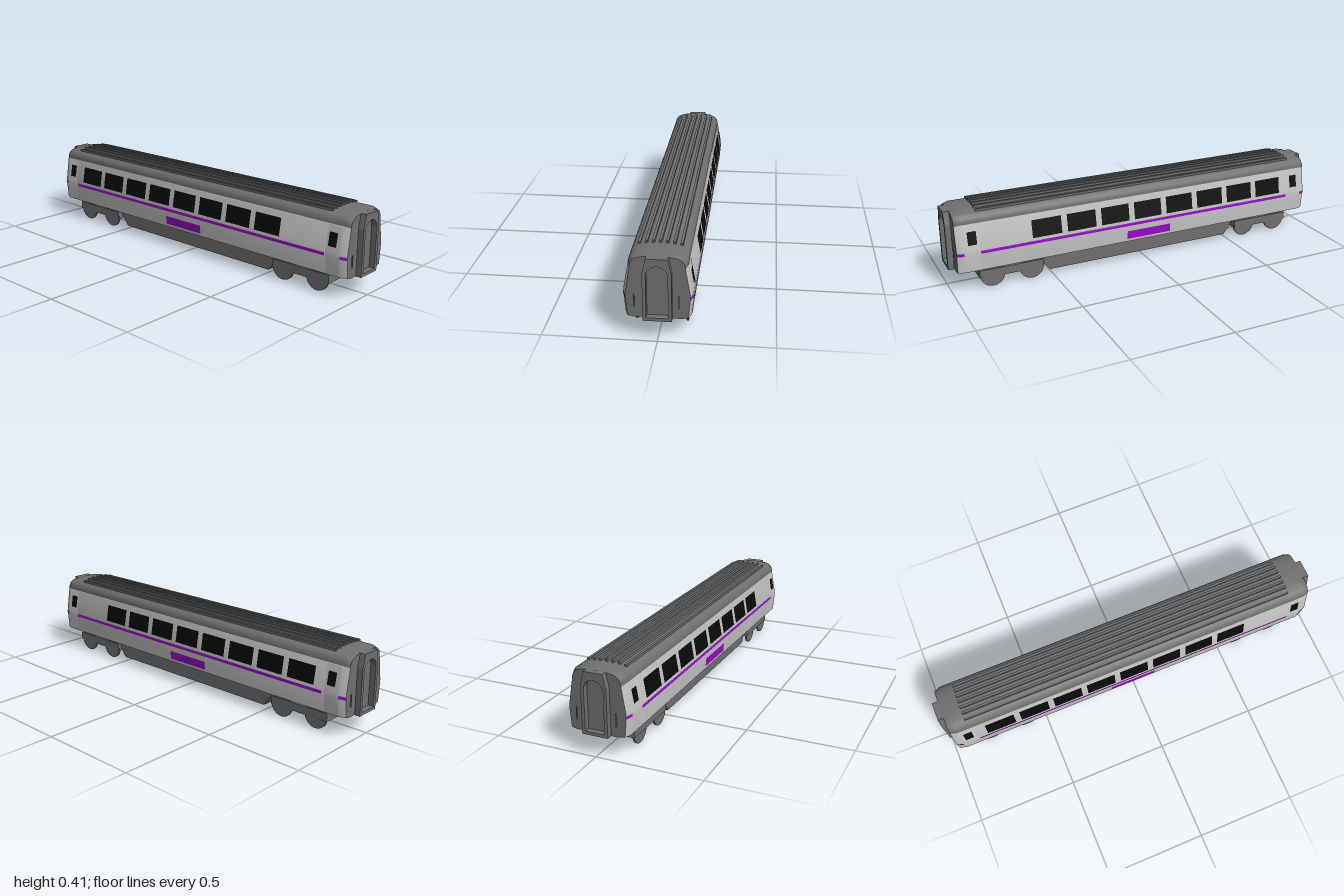
import * as THREE from 'three';
import { toCreasedNormals } from 'three/addons/utils/BufferGeometryUtils.js';

const material = (name, color) => Object.assign(new THREE.MeshStandardMaterial({ color }), { name });

// Half cross-section of the body: side wall, then roof up to the centre line
const SIDE = [[0.141, 0.105], [0.149, 0.192], [0.149, 0.216], [0.127, 0.34]];
const ROOF = [[0.127, 0.34], [0.126, 0.352], [0.121, 0.365], [0.113, 0.375], [0.102, 0.382],
  [0.086, 0.388], [0.05, 0.393], [0, 0.395]];
const END = 0.972, DOOR_EDGE = 0.94;
const mirror = (pts) => pts.map(([x, y]) => [-x, y]).reverse();

// Narrowing of the cross-section towards each end of the coach
function taper([x, y], z) {
  const t = Math.max(0, (Math.abs(z) - DOOR_EDGE) / (END - DOOR_EDGE));
  return [x * (1 - 0.085 * t), y - (y - 0.1) * 0.025 * t];
}

// Skin a cross-section along ascending z stations
function loft(profile, stations) {
  const pos = [];
  const at = (p, z) => [...taper(p, z), z];
  for (let s = 0; s < stations.length - 1; s++) {
    for (let i = 0; i < profile.length - 1; i++) {
      const a = at(profile[i], stations[s]), b = at(profile[i + 1], stations[s]);
      const c = at(profile[i + 1], stations[s + 1]), d = at(profile[i], stations[s + 1]);
      pos.push(...a, ...b, ...c, ...a, ...c, ...d);
    }
  }
  const g = new THREE.BufferGeometry();
  g.setAttribute('position', new THREE.Float32BufferAttribute(pos, 3));
  return toCreasedNormals(g, 0.5);
}

// Width of the side wall at a given height
function sideX(y) {
  for (let i = 0; i < SIDE.length - 1; i++) {
    const [x0, y0] = SIDE[i], [x1, y1] = SIDE[i + 1];
    if (y <= y1) return x0 + ((x1 - x0) * (y - y0)) / (y1 - y0);
  }
  return SIDE[SIDE.length - 1][0];
}

export function createModel() {
  const group = new THREE.Group();
  const dark = material('dark grey', 0x707070);
  const silver = material('light grey', 0xc8c8c8);
  const purple = material('purple', 0x9c0ccc);
  const black = material('window black', 0x0a0a0a);

  const add = (name, geometry, mat) => {
    const mesh = new THREE.Mesh(geometry, mat);
    mesh.name = name;
    group.add(mesh);
    return mesh;
  };
  const box = (name, w, h, d, x, y, z, mat = dark) =>
    add(name, new THREE.BoxGeometry(w, h, d), mat).position.set(x, y, z);

  // Thin panel following the side wall, on both sides
  const panel = (name, y0, y1, z0, z1, mat, lift) => {
    const ys = [y0, ...SIDE.map((p) => p[1]).filter((y) => y > y0 && y < y1), y1];
    const profile = ys.map((y) => [sideX(y) + lift, y]);
    add(name + 'Left', loft(profile, [z0, z1]), mat);
    add(name + 'Right', loft(mirror(profile), [z0, z1]), mat);
  };

  // Body shell
  const stations = [-END, -DOOR_EDGE, DOOR_EDGE, END];
  add('sideWallLeft', loft(SIDE, stations), silver);
  add('sideWallRight', loft(mirror(SIDE), stations), silver);
  add('roof', loft([...ROOF, ...mirror(ROOF).slice(1)], stations), dark);
  add('floor', loft([[-0.141, 0.105], [-0.112, 0.099], [0.112, 0.099], [0.141, 0.105]], stations), dark);

  // Roof ribs
  [0.407, 0.406, 0.403, 0.395].forEach((top, i) => {
    for (const s of i ? [-1, 1] : [1]) box('roofRib', 0.012, 0.03, 1.74, s * i * 0.03, top - 0.015, -0.01);
  });

  // Windows, stripe and lower side plate
  for (let i = 0; i < 8; i++) {
    const z = 0.53 - 0.18 * i;
    panel('window', 0.222, 0.308, z - 0.075, z + 0.075, black, 0.0015);
  }
  panel('stripe', 0.192, 0.207, -0.85, 0.86, purple, 0.0015);
  panel('sidePlate', 0.12, 0.163, -0.137, 0.105, purple, 0.0015);

  // Outline of an end wall
  const half = [[0.112, 0.099], ...SIDE, ...ROOF.slice(1)];
  const outline = [...half, ...mirror(half).slice(1)].map((p) => new THREE.Vector2(...taper(p, END)));

  // Gangway frame with an arched opening
  const frame = new THREE.Shape([[-0.062, 0.098], [0.062, 0.098], [0.061, 0.32], [0.046, 0.387], [-0.046, 0.387],
    [-0.061, 0.32]].map((p) => new THREE.Vector2(...p)));
  const arch = new THREE.Path();
  arch.moveTo(-0.046, 0.113);
  arch.lineTo(-0.046, 0.307);
  arch.absarc(0, 0.307, 0.046, Math.PI, 0, true);
  arch.lineTo(0.046, 0.113);
  arch.closePath();
  frame.holes.push(arch);

  for (const s of [1, -1]) {
    const turn = s > 0 ? 0 : Math.PI;
    const tag = s > 0 ? 'front' : 'back';
    const span = (a, b) => (s > 0 ? [a, b] : [-b, -a]);

    add(tag + 'EndWall', new THREE.ShapeGeometry(new THREE.Shape(outline))
      .translate(0, 0, END).rotateY(turn), dark);
    add(tag + 'Gangway', new THREE.ExtrudeGeometry(frame, { depth: 0.035, bevelEnabled: false, curveSegments: 16 })
      .translate(0, 0, 0.965).rotateY(turn), dark);
    for (const x of [-0.1, 0.09]) box(tag + 'Handrail', 0.004, 0.058, 0.006, x * s, 0.178, s * 0.974);

    // End doors
    panel(tag + 'Door', 0.108, 0.336, ...span(0.864, 0.938), silver, 0.001);
    panel(tag + 'DoorWindow', 0.241, 0.305, ...span(0.875, 0.918), black, 0.0025);
    panel(tag + 'EndStripe', 0.192, 0.207, ...span(DOOR_EDGE, END), purple, 0.0015);

    // Bogie and wheels
    box(tag + 'Bogie', 0.24, 0.04, 0.32, 0.002, 0.07, s * 0.707);
    for (const z of [0.8, 0.62]) {
      box(tag + 'BogieMount', 0.22, 0.016, 0.11, 0, 0.096, s * z);
      for (const x of [-0.109, 0.113]) {
        const wheel = add(tag + 'Wheel', new THREE.CylinderGeometry(0.061, 0.061, 0.009, 32), dark);
        wheel.rotation.z = Math.PI / 2;
        wheel.position.set(x, 0.061, s * (z > 0.7 ? 0.802 : 0.606));
      }
    }
  }

  // Underfloor equipment case with sloping ends
  const caseShape = new THREE.Shape([[-0.49, 0.02], [0.51, 0.02], [0.57, 0.102], [-0.55, 0.102]]
    .map((p) => new THREE.Vector2(...p)));
  add('underfloorCase', new THREE.ExtrudeGeometry(caseShape, { depth: 0.204, bevelEnabled: false })
    .rotateY(-Math.PI / 2).translate(0.104, 0, 0), dark);

  return group;
}
